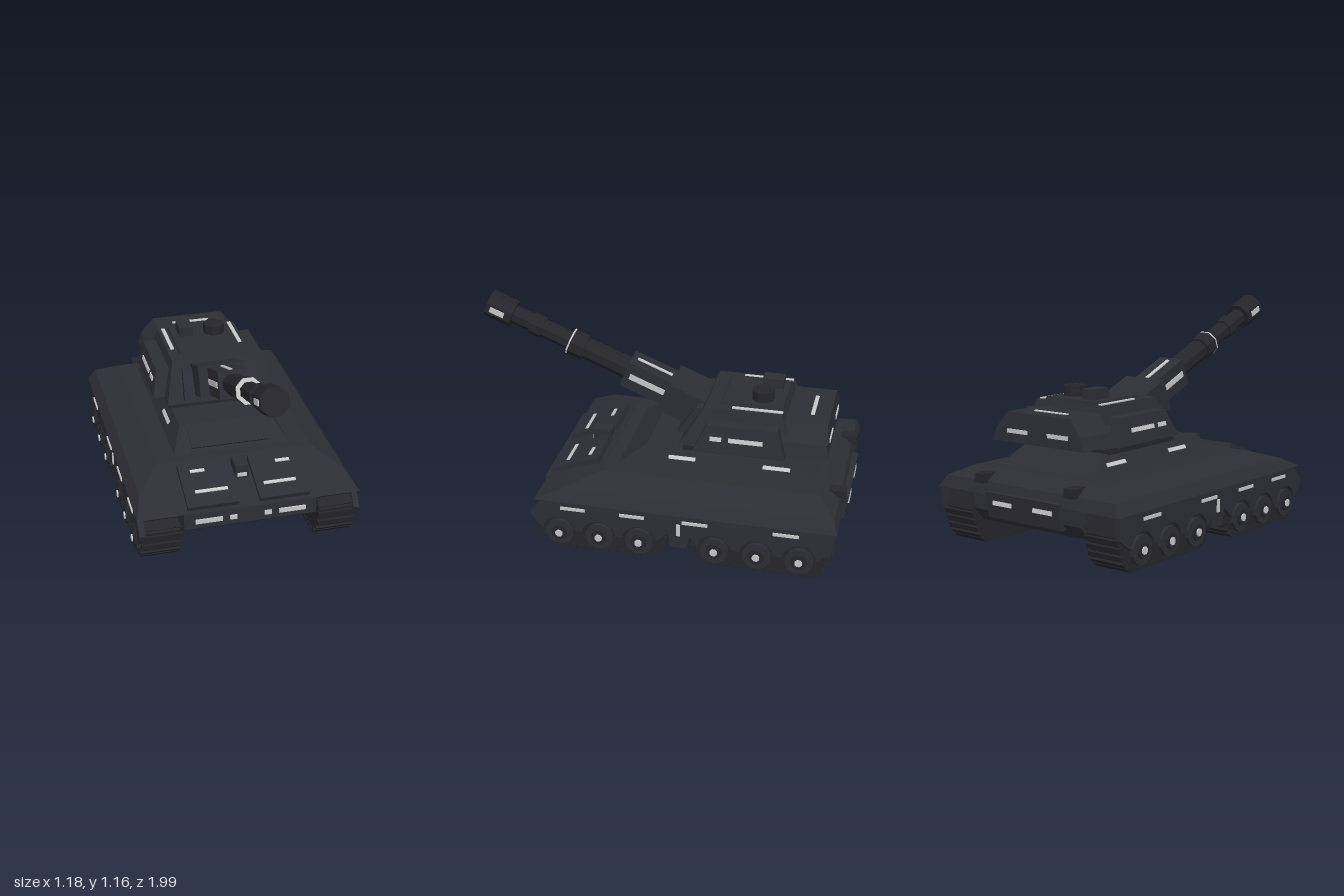
import * as THREE from 'three';

const mat = (name, color) => {
  const m = new THREE.MeshStandardMaterial({ color });
  m.name = name;
  return m;
};

export function createModel() {
  const armour = mat('charcoal armour', 0x2d2d35);
  const dark = mat('dark metal', 0x25252b);
  const light = mat('pale light', 0xc8c8c8);
  const model = new THREE.Group();
  model.name = 'tank';

  const add = (name, geo, material, parent = model) => {
    const mesh = new THREE.Mesh(geo, material);
    mesh.name = name;
    parent.add(mesh);
    return mesh;
  };
  const box = (name, [w, h, d], [x, y, z], material, parent) => {
    const mesh = add(name, new THREE.BoxGeometry(w, h, d), material, parent);
    mesh.position.set(x, y, z);
    return mesh;
  };
  // Stacked rectangles, each [y, x0, x1, zFront, zBack], bottom to top
  const loft = (name, sections, material = armour) => {
    const pos = [], idx = [];
    for (const [y, x0, x1, zf, zb] of sections) pos.push(x1, y, zf, x1, y, zb, x0, y, zb, x0, y, zf);
    for (let k = 0; k < sections.length - 1; k++) {
      for (let i = 0; i < 4; i++) {
        const a = k * 4 + i, b = k * 4 + (i + 1) % 4;
        idx.push(a, b, b + 4, a, b + 4, a + 4);
      }
    }
    const t = (sections.length - 1) * 4;
    idx.push(2, 1, 0, 3, 2, 0, t, t + 1, t + 2, t, t + 2, t + 3);
    let geo = new THREE.BufferGeometry();
    geo.setAttribute('position', new THREE.Float32BufferAttribute(pos, 3));
    geo.setIndex(idx);
    geo = geo.toNonIndexed();
    geo.computeVertexNormals();
    return add(name, geo, material);
  };
  const sym = (rows) => rows.map(([y, hx, zf, zb]) => [y, -hx, hx, zf, zb]);
  const side = (rows, s) => rows.map(([y, a, b, zf, zb]) => [y, Math.min(s * a, s * b), Math.max(s * a, s * b), zf, zb]);
  // Faceted cylinder along 'x', 'y' or 'z'
  const drum = (r, len, n, axis) => {
    const geo = new THREE.CylinderGeometry(r, r, len, n).toNonIndexed();
    geo.computeVertexNormals();
    geo.rotateY(Math.PI / n);
    if (axis === 'x') geo.rotateZ(Math.PI / 2);
    if (axis === 'z') geo.rotateX(Math.PI / 2);
    return geo;
  };
  // Side outline in (z, y), extruded across x
  const slab = (shape, width, x) => {
    const geo = new THREE.ExtrudeGeometry(shape, { depth: width, bevelEnabled: false, curveSegments: 8 });
    geo.translate(0, 0, -width / 2);
    geo.rotateY(-Math.PI / 2);
    return geo.translate(x, 0, 0);
  };
  const outline = (pts) => new THREE.Shape(pts.map(([z, y]) => new THREE.Vector2(z, y)));

  // Hull
  loft('lowerHull', sym([[0.13, 0.345, 0.5, -0.9], [0.2, 0.345, 0.595, -0.96], [0.285, 0.345, 0.59, -0.96]]));
  loft('fenderDeck', sym([[0.28, 0.58, 0.58, -0.97], [0.34, 0.54, 0.44, -0.95], [0.397, 0.413, 0.26, -0.87]]));
  loft('superstructure', sym([[0.395, 0.31, 0.2, -0.82], [0.49, 0.25, 0.06, -0.69]]));
  loft('rearPlate', sym([[0.17, 0.235, -0.9, -0.97], [0.3, 0.235, -0.9, -0.992]]));
  const engineHatch = box('engineHatch', [0.42, 0.012, 0.12], [0, 0.447, 0.13], armour);
  engineHatch.rotation.x = Math.atan2(0.095, 0.14);
  box('noseBox', [0.07, 0.075, 0.1], [0, 0.382, 0.365], armour);
  box('noseLamp', [0.05, 0.02, 0.008], [0, 0.369, 0.416], light);

  // Turret
  loft('turretRing', sym([[0.485, 0.26, -0.13, -0.65], [0.525, 0.26, -0.13, -0.65]]), dark);
  loft('turretBody', sym([[0.52, 0.275, -0.11, -0.7], [0.718, 0.22, -0.23, -0.63]]));
  loft('turretFront', sym([[0.545, 0.185, -0.08, -0.25], [0.69, 0.175, -0.18, -0.3]]));
  loft('turretBustle', sym([[0.535, 0.29, -0.58, -0.875], [0.6, 0.27, -0.58, -0.87], [0.682, 0.2, -0.58, -0.86]]));
  loft('roofPlate', sym([[0.71, 0.165, -0.3, -0.63], [0.732, 0.16, -0.31, -0.625]]));
  add('hatch', drum(0.058, 0.055, 8, 'y'), dark).position.set(0.075, 0.757, -0.51);
  box('hatchLamp', [0.05, 0.008, 0.012], [0.075, 0.783, -0.51], dark);
  box('periscope', [0.075, 0.055, 0.11], [-0.086, 0.757, -0.54], armour);
  box('bustleRoofLamp', [0.21, 0.008, 0.02], [0, 0.683, -0.77], light);

  // Gun, tilted upwards along its own z axis
  const gun = new THREE.Group();
  gun.name = 'gun';
  gun.position.set(0, 0.66, -0.1);
  gun.rotation.x = -0.384;
  model.add(gun);
  box('mantlet', [0.25, 0.165, 0.25], [0, 0, -0.02], armour, gun);
  box('gunSleeve', [0.15, 0.145, 0.27], [0, 0, 0.215], armour, gun);
  box('sleeveTopLamp', [0.02, 0.008, 0.2], [0, 0.074, 0.22], light, gun);
  const tubes = [
    ['rearBarrel', 0.058, 0.3, 0.6, dark], ['barrelCollar', 0.069, 0.595, 0.675, dark],
    ['paleRing', 0.07, 0.675, 0.684, light], ['frontBarrel', 0.048, 0.65, 1.05, dark],
    ['barrelBand', 0.058, 0.84, 0.91, dark], ['muzzle', 0.073, 1.01, 1.155, dark],
  ];
  for (const [name, r, a, b, m] of tubes) add(name, drum(r, b - a, 8, 'z'), m, gun).position.z = (a + b) / 2;

  // Outlines and wheel positions of the front and rear track units
  const units = [
    {
      wheels: [0.45, 0.24, 0.03],
      belt: [[0.49, 0.012], [-0.03, 0.012], [-0.085, 0.06], [-0.11, 0.18], [-0.1, 0.275], [0.51, 0.275], [0.585, 0.2], [0.565, 0.09]],
      skirt: [[-0.12, 0.17], [-0.12, 0.285], [0.53, 0.285], [0.605, 0.2], [0.585, 0.16]],
    },
    {
      wheels: [-0.36, -0.575, -0.79],
      belt: [[-0.3, 0.012], [-0.86, 0.012], [-0.91, 0.06], [-0.95, 0.18], [-0.93, 0.275], [-0.25, 0.275], [-0.24, 0.18], [-0.255, 0.07]],
      skirt: [[-0.955, 0.17], [-0.965, 0.285], [-0.23, 0.285], [-0.23, 0.17]],
    },
  ];

  for (const s of [1, -1]) {
    const word = s > 0 ? 'left' : 'right';
    for (const { wheels, belt, skirt } of units) {
      add(word + 'Track', slab(outline(belt), 0.19, s * 0.46), dark);

      // Track lugs spaced around the belt
      belt.forEach(([z0, y0], i) => {
        const [z1, y1] = belt[(i + 1) % belt.length];
        const len = Math.hypot(z1 - z0, y1 - y0), n = Math.max(1, Math.round(len / 0.045));
        if (y0 > 0.27 && y1 > 0.27) return;
        for (let k = 0; k < n; k++) {
          const t = (k + 0.5) / n;
          const lug = box(word + 'TrackLug', [0.2, 0.024, 0.028], [s * 0.46, y0 + (y1 - y0) * t, z0 + (z1 - z0) * t], dark);
          lug.rotation.x = -Math.atan2(y1 - y0, z1 - z0);
        }
      });

      // Skirt with an arch over each wheel
      const shape = new THREE.Shape();
      skirt.forEach(([z, y], i) => (i ? shape.lineTo(z, y) : shape.moveTo(z, y)));
      for (const z of wheels) shape.absarc(z, 0.1, 0.088, 0.15, Math.PI - 0.15, false);
      add(word + 'Skirt', slab(shape, 0.03, s * 0.56), armour);

      for (const z of wheels) {
        add(word + 'Wheel', drum(0.073, 0.04, 12, 'x'), armour).position.set(s * 0.555, 0.098, z);
        add(word + 'WheelHub', drum(0.042, 0.05, 8, 'x'), dark).position.set(s * 0.56, 0.098, z);
        add(word + 'WheelCap', drum(0.02, 0.008, 8, 'x'), light).position.set(s * 0.588, 0.098, z);
      }
    }

    // Strut between the track units
    add(word + 'Strut', slab(outline([[-0.135, 0.09], [-0.22, 0.09], [-0.25, 0.285], [-0.1, 0.285]]), 0.2, s * 0.47), armour);
    box(word + 'StrutLamp', [0.008, 0.065, 0.02], [s * 0.573, 0.195, -0.175], light);
    for (const z of [0.375, 0.065, -0.26, -0.72]) box(word + 'SkirtLamp', [0.008, 0.016, 0.13], [s * 0.578, 0.245, z], light);

    // Sloped lamps on the superstructure and turret pods
    for (const z of [-0.13, -0.62]) {
      box(word + 'DeckLamp', [0.009, 0.02, 0.14], [s * 0.281, 0.445, z], light).rotation.z = s * 0.588;
    }
    loft(word + 'TurretPod', side([[0.53, 0.2, 0.335, -0.195, -0.665], [0.665, 0.2, 0.305, -0.26, -0.62]], s));
    for (const [z, len] of [[-0.31, 0.06], [-0.463, 0.175]]) {
      box(word + 'PodLamp', [0.009, 0.022, len], [s * 0.321, 0.6, z], light).rotation.z = s * 0.22;
    }
    box(word + 'RoofLamp', [0.02, 0.008, 0.26], [s * 0.19, 0.72, -0.5], light);

    // Glacis plates with their lamps
    const plate = new THREE.Group();
    plate.name = word + 'GlacisPlate';
    plate.position.set(s * 0.187, 0.347, 0.435);
    plate.rotation.x = 0.365;
    model.add(plate);
    box('plate', [0.265, 0.035, 0.28], [0, 0, 0], armour, plate);
    box('upperPlateLamp', [0.075, 0.008, 0.018], [s * 0.038, 0.019, -0.08], light, plate);
    box('lowerPlateLamp', [0.17, 0.008, 0.018], [-s * 0.008, 0.019, 0.05], light, plate);

    // Nose, rear and muzzle lamps
    box(word + 'Headlamp', [0.14, 0.024, 0.009], [s * 0.217, 0.24, 0.595], light);
    box(word + 'MarkerLamp', [0.036, 0.024, 0.009], [s * 0.09, 0.24, 0.595], light);
    box(word + 'TailLamp', [0.12, 0.022, 0.008], [s * 0.13, 0.25, -0.986], light).rotation.x = 0.17;
    box(word + 'BustleLamp', [0.13, 0.02, 0.008], [s * 0.13, 0.59, -0.872], light);
    box(word + 'Exhaust', [0.06, 0.045, 0.1], [s * 0.29, 0.357, -0.93], dark);
    box(word + 'MuzzleLamp', [0.008, 0.03, 0.08], [s * 0.068, 0, 1.09], light, gun);
    box(word + 'SleeveLamp', [0.008, 0.03, 0.2], [s * 0.076, 0, 0.22], light, gun);
  }
  return model;
}
